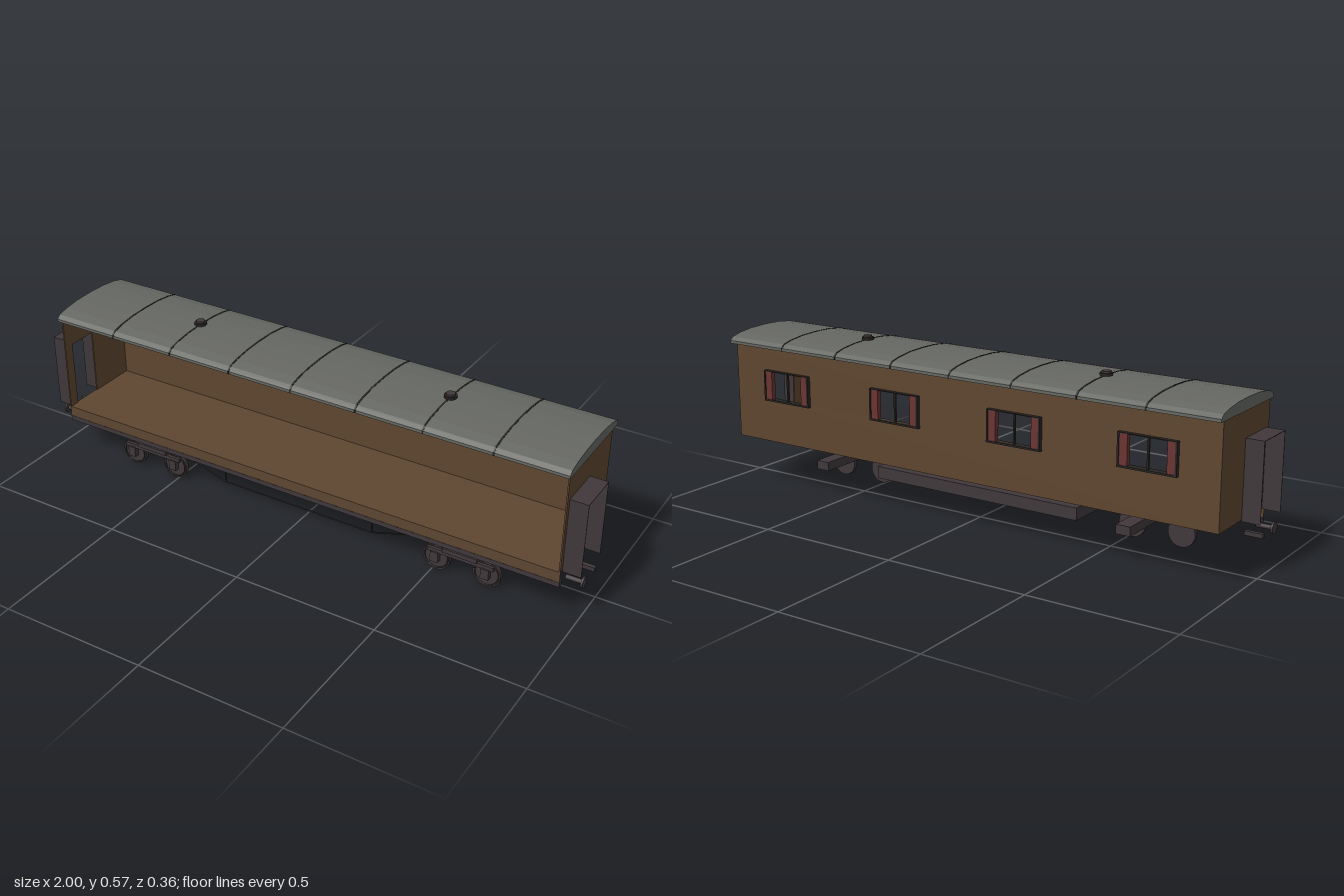
import * as THREE from 'three';

const material = (name, color, double = false) => {
  const m = new THREE.MeshStandardMaterial({ color });
  m.name = name;
  if (double) m.side = THREE.DoubleSide;
  return m;
};

export function createModel() {
  const wood = material('brown wood', 0x5e4630, true);
  const roofGrey = material('roof grey', 0x656762);
  const iron = material('dark iron', 0x40383b);
  const black = material('black trim', 0x292523);
  const red = material('curtain red', 0x6a3533);

  const model = new THREE.Group();
  model.name = 'railwayCarriage';

  const add = (name, geometry, mat, x = 0, y = 0, z = 0, parent = model) => {
    const mesh = new THREE.Mesh(geometry, mat);
    mesh.name = name;
    mesh.position.set(x, y, z);
    parent.add(mesh);
    return mesh;
  };
  // Box given by its limits on each axis
  const box = (name, mat, [x0, x1], [y0, y1], [z0, z1], parent) =>
    add(name, new THREE.BoxGeometry(x1 - x0, y1 - y0, z1 - z0), mat,
      (x0 + x1) / 2, (y0 + y1) / 2, (z0 + z1) / 2, parent);
  const rod = (name, a, b, r, mat) => {
    const path = new THREE.LineCurve3(new THREE.Vector3(...a), new THREE.Vector3(...b));
    return add(name, new THREE.TubeGeometry(path, 1, r, 6), mat);
  };
  const rectPath = (Type, x0, x1, y0, y1) => {
    const p = new Type();
    p.moveTo(x0, y0);
    p.lineTo(x1, y0);
    p.lineTo(x1, y1);
    p.lineTo(x0, y1);
    p.closePath();
    return p;
  };

  const floorY = 0.172, eaveY = 0.513, frontZ = 0.166, backZ = -0.153, endX = 0.94;
  const windowXs = [-0.705, -0.235, 0.235, 0.705];

  // Back wall with four window openings; the front side is open
  const wall = rectPath(THREE.Shape, -endX, endX, floorY, eaveY);
  for (const x of windowXs) wall.holes.push(rectPath(THREE.Path, x - 0.095, x + 0.095, 0.328, 0.43));
  add('backWall', new THREE.ExtrudeGeometry(wall, { depth: 0.006, bevelEnabled: false }), wood, 0, 0, backZ);

  // Floor and the thin apron below its front edge
  const floor = add('floor', new THREE.PlaneGeometry(2 * endX, frontZ - backZ), wood, 0, floorY + 0.001, (frontZ + backZ) / 2);
  floor.rotation.x = -Math.PI / 2;
  add('frontApron', new THREE.PlaneGeometry(2 * endX, floorY - 0.135), wood, 0, (floorY + 0.135) / 2, frontZ - 0.002);

  // Window curtains, frames and bars
  for (const x of windowXs) {
    const w = new THREE.Group();
    w.name = 'window';
    model.add(w);
    for (const s of [-1, 1]) {
      const c = x + s * 0.08;
      box('curtain', red, [c - 0.014, c + 0.014], [0.328, 0.43], [-0.164, -0.147], w);
      const e = x + s * 0.0965;
      box('windowJamb', black, [e - 0.003, e + 0.003], [0.325, 0.43], [-0.167, -0.146], w);
    }
    box('windowSill', black, [x - 0.1, x + 0.1], [0.322, 0.328], [-0.167, -0.142], w);
    box('windowHead', black, [x - 0.098, x + 0.098], [0.428, 0.431], [-0.167, -0.146], w);
    box('windowBar', black, [x - 0.003, x + 0.003], [0.328, 0.43], [-0.158, -0.15], w);
  }

  // Inside cord and its handle
  rod('cord', [-0.89, 0.46, -0.142], [0.89, 0.46, -0.142], 0.002, black);
  rod('handleCord', [0.15, 0.46, -0.142], [0.15, 0.512, -0.142], 0.002, black);
  box('cordHandle', wood, [0.14, 0.16], [0.455, 0.49], [-0.147, -0.138]);

  // Curved roof
  const half = [[0.18, 0.512], [0.18, 0.522], [0.167, 0.534], [0.13, 0.543], [0.07, 0.55], [0, 0.552]];
  const roofLine = [...half, ...half.slice(0, -1).reverse().map(([z, y]) => [-z, y])];
  const roofPart = (name, mat, x0, width, lift) => {
    const shape = new THREE.Shape(roofLine.map(([z, y], i) =>
      new THREE.Vector2(-z * (1 + lift * 3), y + (i > 0 && i < roofLine.length - 1 ? lift : 0))));
    const mesh = add(name, new THREE.ExtrudeGeometry(shape, { depth: width, bevelEnabled: false }), mat, x0);
    mesh.rotation.y = Math.PI / 2;
  };
  roofPart('roof', roofGrey, -0.945, 1.89, 0);
  for (let i = -3; i <= 3; i++) roofPart('roofSeam', black, i * 0.235 - 0.003, 0.006, 0.001);

  // Roof ventilators
  for (const x of [-0.47, 0.47]) {
    add('ventBase', new THREE.CylinderGeometry(0.021, 0.021, 0.009, 16), black, x, 0.5555, 0);
    add('ventCap', new THREE.CylinderGeometry(0.015, 0.015, 0.008, 16), iron, x, 0.562, 0);
  }

  for (const s of [-1, 1]) {
    // End wall with its doorway
    const end = rectPath(THREE.Shape, -frontZ, -backZ, floorY, eaveY);
    end.holes.push(rectPath(THREE.Path, -0.13, -0.023, floorY + 0.001, 0.405));
    const wallEnd = add('endWall', new THREE.ExtrudeGeometry(end, { depth: 0.005, bevelEnabled: false }), wood,
      s > 0 ? endX - 0.005 : -endX);
    wallEnd.rotation.y = Math.PI / 2;

    // Thin gangway hood around the doorway
    const hoodX = s * 0.97;
    for (const z of [0.003, 0.149])
      box('gangwaySide', iron, [hoodX - 0.03, hoodX + 0.03], [0.167, 0.425], [z - 0.001, z + 0.001]);
    box('gangwayTop', iron, [hoodX - 0.03, hoodX + 0.03], [0.423, 0.425], [0.003, 0.149]);

    // Round bumper and coupling
    const shank = add('bumperShank', new THREE.CylinderGeometry(0.008, 0.008, 0.055, 12), iron, s * 0.9675, 0.127, 0.113);
    const head = add('bumperHead', new THREE.CylinderGeometry(0.019, 0.019, 0.007, 20), iron, s * 0.9965, 0.127, 0.113);
    shank.rotation.z = head.rotation.z = Math.PI / 2;
    box('coupling', iron, [hoodX - 0.03, hoodX + 0.03], [0.119, 0.133], [0.023, 0.038]);

    // Bogie
    const bogie = new THREE.Group();
    bogie.name = 'bogie';
    bogie.position.x = s * 0.6;
    model.add(bogie);
    box('bolster', iron, [-0.025, 0.025], [0.087, 0.118], [-0.105, 0.135], bogie);
    box('bogieFrame', iron, [-0.06, 0.06], [0.085, 0.1], [0.131, 0.147], bogie);
    box('bogieBar', iron, [-0.115, 0.115], [0.072, 0.086], [0.133, 0.143], bogie);
    for (const x of [-0.088, 0.088]) {
      const wheel = add('wheel', new THREE.CylinderGeometry(0.048, 0.048, 0.013, 28), iron, x, 0.048, 0.123, bogie);
      wheel.rotation.x = Math.PI / 2;
      add('wheelRim', new THREE.TorusGeometry(0.041, 0.003, 6, 28), black, x, 0.048, 0.129, bogie);
      box('axleBox', iron, [x - 0.014, x + 0.014], [0.038, 0.075], [0.129, 0.148], bogie);
    }

    // Truss rod ends and posts
    rod('trussEnd', [s * 0.48, 0.125, 0.145], [s * 0.285, 0.066, 0.145], 0.0025, black);
    rod('trussPost', [s * 0.285, 0.066, 0.145], [s * 0.285, 0.122, 0.145], 0.0025, black);
  }
  rod('trussRod', [-0.285, 0.066, 0.145], [0.285, 0.066, 0.145], 0.0025, black);

  // Sole bar and underfloor box
  box('soleBar', iron, [-endX, endX], [0.118, 0.135], [0.147, 0.165]);
  box('underfloorBox', iron, [-0.4, 0.4], [0.078, 0.12], [-0.047, 0.111]);

  return model;
}
